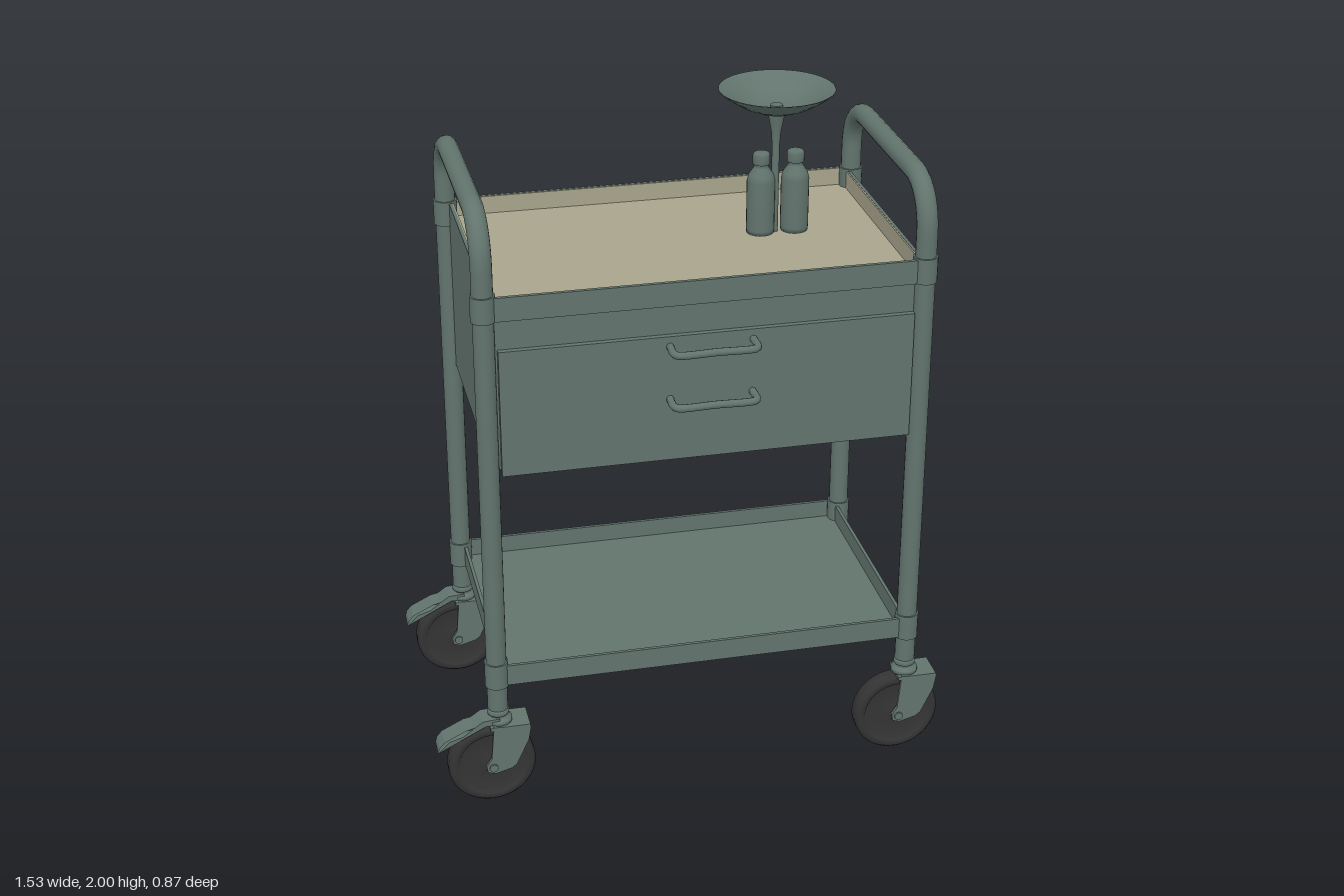
import * as THREE from 'three';

const mat = (name, color, double) => {
  const m = new THREE.MeshStandardMaterial({ color });
  m.name = name;
  if (double) m.side = THREE.DoubleSide;
  return m;
};

export function createModel() {
  const root = new THREE.Group();
  root.name = 'utilityCart';
  const green = mat('greyGreenMetal', 0x62746d, true);
  const beige = mat('beigeLiner', 0xa8a48c);
  const rubber = mat('darkRubber', 0x343434);

  const add = (parent, name, geo, m, x = 0, y = 0, z = 0) => {
    const mesh = new THREE.Mesh(geo, m);
    mesh.name = name;
    mesh.position.set(x, y, z);
    parent.add(mesh);
    return mesh;
  };
  // Box given by its minimum and maximum corners
  const box = (parent, name, m, x0, x1, y0, y1, z0, z1) =>
    add(parent, name, new THREE.BoxGeometry(x1 - x0, y1 - y0, z1 - z0), m,
      (x0 + x1) / 2, (y0 + y1) / 2, (z0 + z1) / 2);
  const lathe = (pts, seg = 32) =>
    new THREE.LatheGeometry(pts.map(([r, y]) => new THREE.Vector2(r, y)), seg);
  const extrude = (pts, depth) => {
    const g = new THREE.ExtrudeGeometry(
      new THREE.Shape(pts.map(([x, y]) => new THREE.Vector2(x, y))),
      { depth, bevelEnabled: false });
    return g.translate(0, 0, -depth / 2);
  };
  const V = (x, y, z) => new THREE.Vector3(x, y, z);

  const legX = [-0.58, 0.665], legZ = [0.335, -0.39];
  const X0 = -0.572, X1 = 0.657, Z0 = -0.41, Z1 = 0.355;

  // Bent tube frames: two legs joined by a rounded push handle
  for (const x of legX) {
    const [f, b] = legZ, bend = 0.13, top = 1.83, low = 0.31;
    const path = new THREE.CurvePath();
    const arc = (z, dir) => {
      const pts = [];
      for (let i = 0; i <= 8; i++) {
        const a = (i / 8) * Math.PI / 2;
        pts.push(V(x, top - bend + bend * Math.sin(a), z - dir * bend * (1 - Math.cos(a))));
      }
      return pts;
    };
    const pts = [V(x, low, f), ...arc(f, 1), ...arc(b, -1).reverse(), V(x, low, b)];
    for (let i = 1; i < pts.length; i++) path.add(new THREE.LineCurve3(pts[i - 1], pts[i]));
    add(root, 'handleFrame', new THREE.TubeGeometry(path, 140, 0.03, 16), green);
    // Sleeves where the trays meet the legs
    for (const z of legZ) {
      for (const [y0, y1] of [[0.39, 0.47], [1.55, 1.625]]) {
        add(root, 'legSleeve', new THREE.CylinderGeometry(0.035, 0.035, y1 - y0, 20), green,
          x, (y0 + y1) / 2, z);
      }
    }
  }

  // Open tray: floor with four thin rims
  const tray = (name, y0, y1) => {
    const g = new THREE.Group(), t = 0.01;
    g.name = name;
    box(g, 'trayFloor', green, X0, X1, y0, y0 + t, Z0, Z1);
    box(g, 'frontRim', green, X0, X1, y0, y1, Z1 - t, Z1);
    box(g, 'backRim', green, X0, X1, y0, y1, Z0, Z0 + t);
    box(g, 'rightRim', green, X0, X0 + t, y0, y1, Z0, Z1);
    box(g, 'leftRim', green, X1 - t, X1, y0, y1, Z0, Z1);
    root.add(g);
    return g;
  };
  tray('lowerShelf', 0.395, 0.46);
  const upper = tray('topTray', 1.55, 1.62);

  // Beige liner over the inside of the top tray
  const a = 0.01, l = 0.004;
  box(upper, 'linerFloor', beige, X0 + a, X1 - a, 1.56, 1.566, Z0 + a, Z1 - a);
  box(upper, 'linerFront', beige, X0 + a, X1 - a, 1.56, 1.619, Z1 - a - l, Z1 - a);
  box(upper, 'linerBack', beige, X0 + a, X1 - a, 1.56, 1.619, Z0 + a, Z0 + a + l);
  box(upper, 'linerRight', beige, X0 + a, X0 + a + l, 1.56, 1.619, Z0 + a, Z1 - a);
  box(upper, 'linerLeft', beige, X1 - a - l, X1 - a, 1.56, 1.619, Z0 + a, Z1 - a);

  // Drawer cabinet with its front panel
  box(root, 'cabinet', green, X0, X1, 1.095, 1.55, Z0, 0.338);
  box(root, 'drawerFront', green, -0.545, 0.635, 1.08, 1.46, 0.338, 0.355);

  // Drawer pulls
  for (const y of [1.43, 1.27]) {
    const path = new THREE.CatmullRomCurve3([
      V(-0.068, y, 0.35), V(-0.068, y, 0.405), V(-0.06, y, 0.418), V(0.05, y, 0.418),
      V(0.16, y, 0.418), V(0.168, y, 0.405), V(0.168, y, 0.35)], false, 'centripetal');
    add(root, 'drawerPull', new THREE.TubeGeometry(path, 40, 0.011, 10), green);
  }

  // Casters; the two on the right carry brake pedals
  const wheelProfile = [[0, -0.022], [0.03, -0.022], [0.034, -0.016], [0.095, -0.016],
    [0.102, -0.028], [0.12, -0.028], [0.13, -0.016], [0.13, 0.016], [0.12, 0.028],
    [0.102, 0.028], [0.095, 0.016], [0.034, 0.016], [0.03, 0.022], [0, 0.022]];
  const wheelGeo = lathe(wheelProfile, 36).rotateX(Math.PI / 2);
  const forkGeo = extrude([[-0.02, 0.27], [0.09, 0.262], [0.082, 0.215], [0.045, 0.135],
    [0.03, 0.122], [-0.02, 0.108], [-0.042, 0.115], [-0.046, 0.135], [-0.03, 0.16]], 0.01);
  const pedalGeo = extrude([[0, 0.29], [-0.05, 0.286], [-0.11, 0.242], [-0.15, 0.23],
    [-0.185, 0.195], [-0.18, 0.212], [-0.165, 0.23], [-0.1, 0.262], [-0.05, 0.268],
    [0, 0.27]].reverse(), 0.066);
  for (const x of legX) {
    for (const z of legZ) {
      const c = new THREE.Group();
      c.name = 'caster';
      c.position.set(x, 0, z);
      root.add(c);
      add(c, 'wheel', wheelGeo, rubber, -0.025, 0.13, 0);
      for (const s of [-1, 1]) add(c, 'forkPlate', forkGeo, green, 0, 0, s * 0.041);
      box(c, 'forkBridge', green, -0.03, 0.088, 0.257, 0.268, -0.046, 0.046);
      const axle = add(c, 'axle', new THREE.CylinderGeometry(0.013, 0.013, 0.102, 12), green,
        -0.025, 0.13, 0);
      axle.rotation.x = Math.PI / 2;
      add(c, 'swivelStem', lathe([[0, 0.265], [0.04, 0.265], [0.04, 0.28], [0.026, 0.283],
        [0.026, 0.292], [0.032, 0.295], [0.032, 0.312], [0, 0.312]], 20), green);
      if (x < 0) add(c, 'brakePedal', pedalGeo, green);
    }
  }

  // Bottles standing in the tray
  for (const x of [0.298, 0.4]) {
    add(root, 'bottle', lathe([[0, 1.566], [0.04, 1.566], [0.041, 1.58], [0.041, 1.725],
      [0.036, 1.745], [0.022, 1.765], [0.02, 1.775], [0.025, 1.777], [0.025, 1.805],
      [0.021, 1.81], [0, 1.81]], 24), green, x, 0, -0.078);
  }

  // Shallow dish on a slender stem
  add(root, 'dish', lathe([[0.02, 1.933], [0.06, 1.936], [0.105, 1.955], [0.145, 1.98],
    [0.168, 1.998], [0.166, 2.0], [0.14, 1.986], [0.1, 1.964], [0.06, 1.947],
    [0, 1.944]], 40), green, 0.34, 0, -0.078);
  add(root, 'dishStem', lathe([[0.011, 1.566], [0.011, 1.83], [0.014, 1.87], [0.022, 1.91],
    [0.026, 1.936]], 20), green, 0.34, 0, -0.078);
  add(root, 'dishScrew', new THREE.CylinderGeometry(0.018, 0.018, 0.008, 16), green,
    0.34, 1.947, -0.078);

  return root;
}
